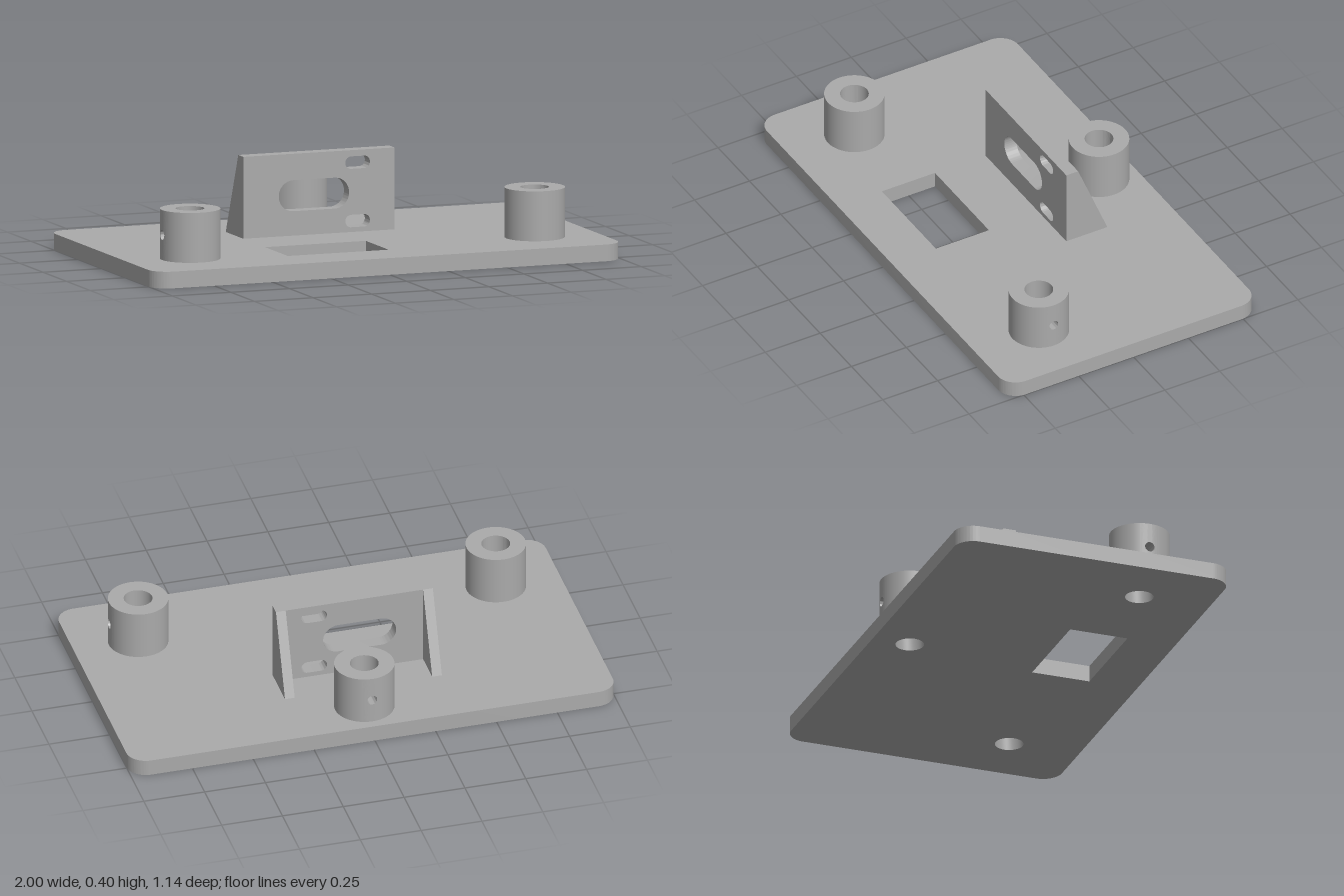
import * as THREE from 'three';
import { toCreasedNormals } from 'three/addons/utils/BufferGeometryUtils.js';

const BASE_H = 0.067, POST_H = 0.2, POST_R = 0.12, BORE_R = 0.057, PIN_R = 0.02;
const posts = [ // x, z, direction the set-screw hole faces
  ['rightPost', -0.735, 0.28, -Math.PI / 2],
  ['leftPost', 0.735, 0.28, Math.PI / 2],
  ['rearPost', 0, -0.415, Math.PI],
];

// Rectangle with rounded corners; also gives slots when r is half the height
function roundedRect(Type, x0, y0, x1, y1, r) {
  const p = new Type();
  p.moveTo(x0 + r, y0);
  p.lineTo(x1 - r, y0);
  p.absarc(x1 - r, y0 + r, r, -Math.PI / 2, 0, false);
  p.lineTo(x1, y1 - r);
  p.absarc(x1 - r, y1 - r, r, 0, Math.PI / 2, false);
  p.lineTo(x0 + r, y1);
  p.absarc(x0 + r, y1 - r, r, Math.PI / 2, Math.PI, false);
  p.lineTo(x0, y0 + r);
  p.absarc(x0 + r, y0 + r, r, Math.PI, Math.PI * 1.5, false);
  return p;
}

function polygon(Type, pts) {
  return new Type(pts.map(([x, y]) => new THREE.Vector2(x, y)));
}

function extrude(shape, depth) {
  const g = new THREE.ExtrudeGeometry(shape, { depth, bevelEnabled: false, curveSegments: 16 });
  return toCreasedNormals(g, 0.5);
}

// Strip of post wall facing +z, pierced by a round cross hole through to the bore
function piercedWall(halfWidth) {
  const N = 64, RINGS = 8, rows = [];
  for (let i = 0; i <= RINGS; i++) rows.push([POST_R, i / RINGS]);
  for (let i = RINGS; i >= 0; i--) rows.push([BORE_R, i / RINGS]);
  const pos = [], index = [];
  rows.forEach(([radius, t], i) => {
    for (let j = 0; j <= N; j++) {
      const a = (j / N) * Math.PI * 2, c = Math.cos(a), s = Math.sin(a);
      const m = Math.max(Math.abs(c), Math.abs(s));
      const x = THREE.MathUtils.lerp(halfWidth * c / m, PIN_R * c, t);
      const y = THREE.MathUtils.lerp(POST_H / 2 * s / m, PIN_R * s, t);
      pos.push(x, y + POST_H / 2, Math.sqrt(radius * radius - x * x));
      if (i < rows.length - 1 && j < N) {
        const p = i * (N + 1) + j, q = p + N + 1;
        index.push(p, p + 1, q, p + 1, q + 1, q);
      }
    }
  });
  const g = new THREE.BufferGeometry();
  g.setAttribute('position', new THREE.Float32BufferAttribute(pos, 3));
  g.setIndex(index);
  return toCreasedNormals(g, 0.6);
}

// Remaining arc of a post wall
function wallArc(radius, halfWidth, inward) {
  const a = Math.asin(halfWidth / radius);
  const pts = [new THREE.Vector2(radius, 0), new THREE.Vector2(radius, POST_H)];
  if (inward) pts.reverse();
  return new THREE.LatheGeometry(pts, 48, a, Math.PI * 2 - 2 * a);
}

export function createModel() {
  const root = new THREE.Group();
  root.name = 'mountingPlate';
  const grey = new THREE.MeshStandardMaterial({ color: 0xaaaaaa });
  grey.name = 'plainGrey';
  const add = (parent, geometry, name) => {
    const mesh = new THREE.Mesh(geometry, grey);
    mesh.name = name;
    parent.add(mesh);
    return mesh;
  };

  // Base plate with window and bolt holes (shape y is -z)
  const base = roundedRect(THREE.Shape, -1, -0.572, 1, 0.572, 0.08);
  base.holes.push(polygon(THREE.Path, [[-0.355, -0.372], [0.075, -0.372], [0.075, -0.13], [-0.355, -0.13]]));
  for (const [, x, z] of posts) {
    const hole = new THREE.Path();
    hole.absarc(x, -z, BORE_R, 0, Math.PI * 2, false);
    base.holes.push(hole);
  }
  add(root, extrude(base, BASE_H).rotateX(-Math.PI / 2), 'basePlate');

  // Hollow posts with set-screw holes
  const half = 0.04;
  for (const [name, x, z, facing] of posts) {
    const post = new THREE.Group();
    post.name = name;
    post.position.set(x, BASE_H, z);
    post.rotation.y = facing;
    add(post, piercedWall(half), 'piercedWall');
    add(post, wallArc(POST_R, half, false), 'outerWall');
    add(post, wallArc(BORE_R, half, true), 'boreWall');
    const rim = new THREE.RingGeometry(BORE_R, POST_R, 64).rotateX(-Math.PI / 2);
    add(post, rim, 'topRim').position.y = POST_H;
    root.add(post);
  }

  // Upright bracket with one large and two small slots
  const bracket = new THREE.Group();
  bracket.name = 'bracket';
  root.add(bracket);
  const x0 = -0.355, x1 = 0.29, top = 0.395, zFront = -0.1, zBack = -0.154;
  const upright = polygon(THREE.Shape, [[x0, BASE_H], [x1, BASE_H], [x1, top], [x0, top]]);
  upright.holes.push(
    roundedRect(THREE.Path, -0.204, 0.165, 0.096, 0.289, 0.0619),
    roundedRect(THREE.Path, 0.08, 0.32, 0.185, 0.37, 0.0249),
    roundedRect(THREE.Path, 0.08, 0.086, 0.185, 0.136, 0.0249),
  );
  add(bracket, extrude(upright, zFront - zBack), 'uprightPlate').position.z = zBack;

  // Triangular side ribs (shape x is -z)
  const rib = polygon(THREE.Shape, [[-zBack, BASE_H], [0.287, BASE_H], [-zBack, top]]);
  const ribGeometry = extrude(rib, 0.04).rotateY(Math.PI / 2);
  add(bracket, ribGeometry, 'rightRib').position.x = x0;
  add(bracket, ribGeometry, 'leftRib').position.x = x1 - 0.04;

  return root;
}
